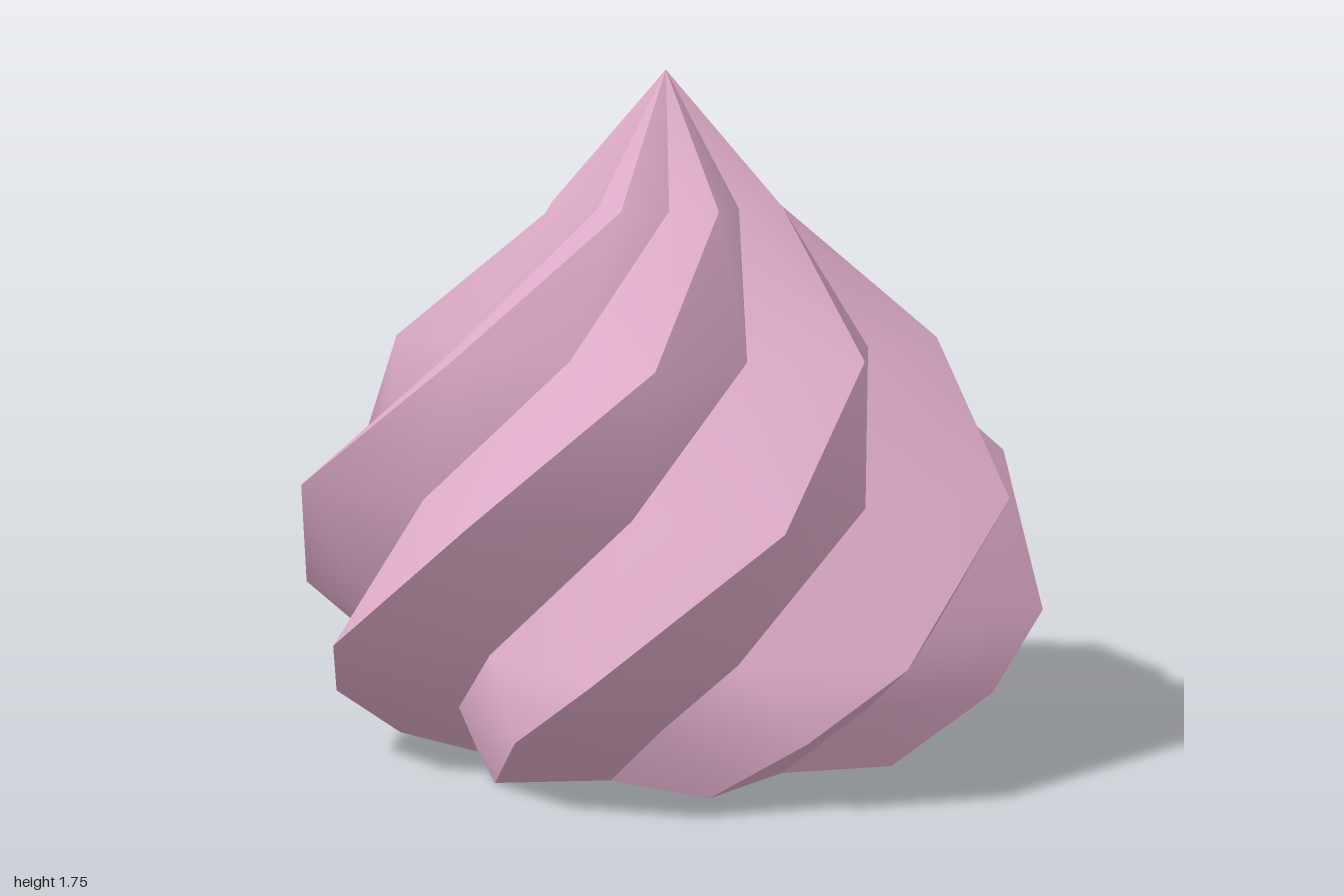
import * as THREE from 'three';

const POINTS = 8;               // ridges of the piped star
const SIDES = POINTS * 2;       // ridge and valley columns
const TWIST = THREE.MathUtils.degToRad(26.5) / 0.35; // turn per unit of height
const VALLEY = 0.795;           // valley radius relative to ridge radius

// [height, ridge radius] of each layer, bottom to tip
const LAYERS = [
  [0, 0.714], [0.175, 0.91], [0.35, 1.0025], [0.7, 0.974],
  [1.05, 0.715], [1.4, 0.322], [1.75, 0],
];

// Point on the twisted star: even columns are ridges, odd ones valleys
function starPoint([y, radius], column) {
  const angle = Math.PI / 8 + (column * Math.PI) / POINTS + y * TWIST;
  const r = radius * (column % 2 ? VALLEY : 1);
  return [r * Math.cos(angle), y, -r * Math.sin(angle)];
}

function makeGeometry(positions, indices) {
  const geometry = new THREE.BufferGeometry();
  geometry.setAttribute('position', new THREE.Float32BufferAttribute(positions, 3));
  geometry.setIndex(indices);
  geometry.computeVertexNormals();
  return geometry;
}

// Each flank is its own strip: smooth along its height, sharp at ridges and valleys
function swirlGeometry() {
  const positions = [];
  const indices = [];
  for (let column = 0; column < SIDES; column++) {
    const start = positions.length / 3;
    for (const layer of LAYERS) {
      positions.push(...starPoint(layer, column), ...starPoint(layer, column + 1));
    }
    for (let i = 0; i < LAYERS.length - 1; i++) {
      const a = start + i * 2;
      indices.push(a, a + 1, a + 2);
      if (i < LAYERS.length - 2) indices.push(a + 1, a + 3, a + 2);
    }
  }
  return makeGeometry(positions, indices);
}

// Flat star closing the underside
function baseGeometry() {
  const positions = [0, 0, 0];
  const indices = [];
  for (let column = 0; column < SIDES; column++) {
    positions.push(...starPoint(LAYERS[0], column));
    indices.push(0, 1 + ((column + 1) % SIDES), 1 + column);
  }
  return makeGeometry(positions, indices);
}

export function createModel() {
  const pink = new THREE.MeshStandardMaterial({ color: 0xdcaac6 });
  pink.name = 'pink cream';

  const model = new THREE.Group();
  model.name = 'creamSwirl';
  const parts = { twistedSwirl: swirlGeometry(), flatBase: baseGeometry() };
  for (const [name, geometry] of Object.entries(parts)) {
    const mesh = new THREE.Mesh(geometry, pink);
    mesh.name = name;
    model.add(mesh);
  }
  return model;
}
